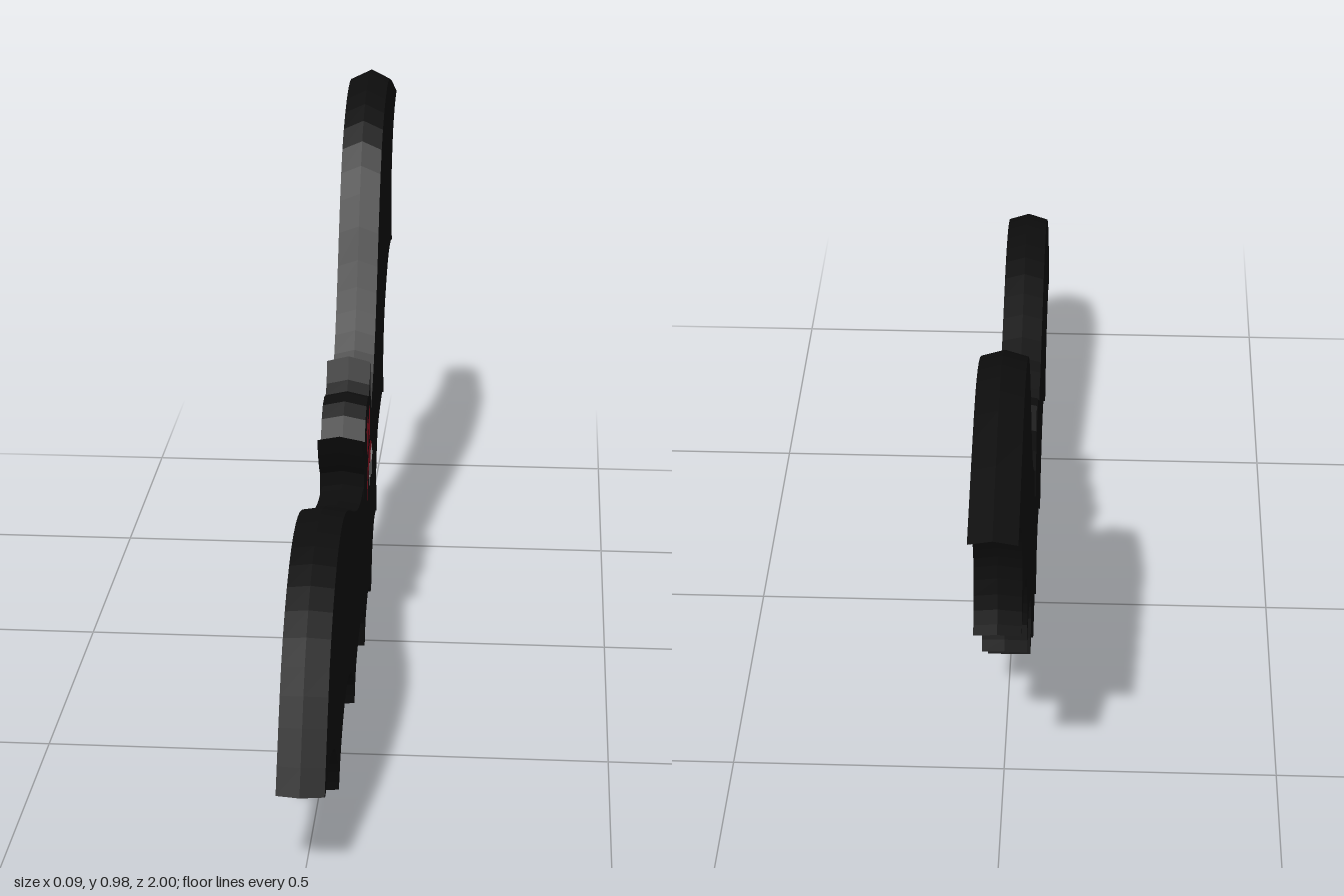
import * as THREE from 'three';

// Outlines are drawn in hundredths of a unit: [towards -z, up]
const leftWingTop = [[-100, 16.5], [-94, 27], [-88, 36], [-80, 43], [-71, 47.5], [-62, 49], [-53, 48],
  [-43, 44.5], [-32, 40], [-22, 36.6], [-14, 35.3], [-7, 35.3]];
const rightWingTop = [[13, 42], [17, 45], [22.5, 50], [28, 57], [33, 66], [39.5, 79], [46.5, 89],
  [55.5, 95], [65, 97.8], [74, 97.3], [85, 94], [99.5, 89]];

// Scalloped lower edge, one arc per membrane, each ending in a point
const rightScallops = [
  [[92, 86.6], [86, 81.8], [82.4, 75], [81.3, 70], [82.4, 63.6], [84.5, 59]],
  [[79.5, 60], [71.5, 59], [64, 55], [58, 50], [55, 44], [54.5, 38.5], [56.5, 33]],
  [[52, 34.7], [45, 34], [37, 32], [33, 27], [32, 22.5], [34.2, 14.5]],
  [[30, 16], [24.5, 15.5], [20, 11.7], [18.2, 8], [17, 4.8], [15, 4.3]],
];
const leftScallops = [
  [[12, 6.4], [7.5, 8], [2, 6], [-1, 3.7], [-2.7, 0.2]],
  [[-3.7, 6], [-7.5, 9.6], [-14, 10.7], [-22, 9], [-28, 6], [-31, 1]],
  [[-32.6, 6], [-38.5, 10.7], [-46, 13.4], [-53, 13.4], [-60, 11], [-66, 7], [-69.5, 2.5]],
  [[-71.6, 7.5], [-75.4, 12.3], [-81, 16], [-89, 18], [-94, 17.6], [-98, 16], [-100, 16.5]],
];

const headOutline = [[-7, 33], [-7.3, 38], [-9.6, 40], [-11.8, 43.3], [-13.4, 47], [-9.6, 45.5], [-5.3, 43.9],
  [-3.2, 47.6], [-0.5, 49.5], [3.2, 50], [6.4, 49.2], [8.6, 50.8], [10.2, 55], [11.8, 50.3], [12.3, 46],
  [13, 42], [13, 36]];

const toVectors = (points) => points.map(([u, v]) => new THREE.Vector2(u / 100, v / 100));

const black = new THREE.MeshStandardMaterial({ color: 0x0d0d0d });
const red = new THREE.MeshStandardMaterial({ color: 0x8a1020, side: THREE.DoubleSide });
const white = new THREE.MeshStandardMaterial({ color: 0xcccccc, side: THREE.DoubleSide });

// Slab between two x positions, with the rim rising to a faint central ridge
function slab(name, shape, x0, x1) {
  const geometry = new THREE.ExtrudeGeometry(shape, {
    depth: x1 - x0, steps: 2, curveSegments: 2, bevelEnabled: false,
  });
  geometry.translate(0, 0, x0);
  geometry.rotateY(Math.PI / 2);
  const p = geometry.attributes.position;
  const middle = (x0 + x1) / 2;
  for (let i = 0; i < p.count; i++) {
    if (Math.abs(p.getX(i) - middle) < 0.01) continue;
    p.setY(i, p.getY(i) * 0.982);
    p.setZ(i, p.getZ(i) * 0.988);
  }
  geometry.computeVertexNormals();
  const mesh = new THREE.Mesh(geometry, black);
  mesh.name = name;
  return mesh;
}

// Thin flat patch lying on the face side
function patch(name, points, material, x) {
  const geometry = new THREE.ShapeGeometry(new THREE.Shape(toVectors(points)));
  geometry.rotateY(Math.PI / 2);
  geometry.translate(x, 0, 0);
  const mesh = new THREE.Mesh(geometry, material);
  mesh.name = name;
  return mesh;
}

export function createModel() {
  const model = new THREE.Group();
  model.name = 'bat';

  // Body and both wings in one silhouette
  const outline = new THREE.Shape();
  const [tip, ...leftTop] = toVectors(leftWingTop);
  outline.moveTo(tip.x, tip.y);
  outline.splineThru(leftTop);
  const [shoulder, ...rightTop] = toVectors(rightWingTop);
  outline.lineTo(shoulder.x, shoulder.y);
  outline.splineThru(rightTop);
  for (const arc of [...rightScallops, ...leftScallops]) outline.splineThru(toVectors(arc));
  model.add(slab('bodyAndWings', outline, -0.043, 0.036));

  // Head with two pointed ears
  model.add(slab('head', new THREE.Shape(toVectors(headOutline)), -0.046, 0.037));

  // Face
  model.add(
    patch('eyeNear', [[-2.7, 44.4], [0, 46.5], [2.1, 43.9], [2.7, 40.6], [0.5, 38.5], [-2.1, 40.6]], red, 0.039),
    patch('eyeFar', [[2.4, 43.9], [5.3, 47.5], [7.5, 44.4], [7, 40.6], [4.8, 40.1]], red, 0.039),
    patch('mouth', [[-1.6, 28.3], [-1.2, 33], [0.5, 36], [3.2, 38.5], [7.5, 39], [11.2, 37.4], [13.9, 34.2],
      [10, 33.6], [7, 35], [4, 34.5], [1.5, 32.5]], red, 0.039),
    patch('fangNear', [[0.3, 34.2], [2.7, 37.6], [4.8, 38], [4.5, 35], [2.5, 31]], white, 0.042),
    patch('fangFar', [[4.9, 37.6], [7.5, 38.4], [9.8, 35.6], [8, 35.2], [6.4, 32.4]], white, 0.042),
  );
  return model;
}
